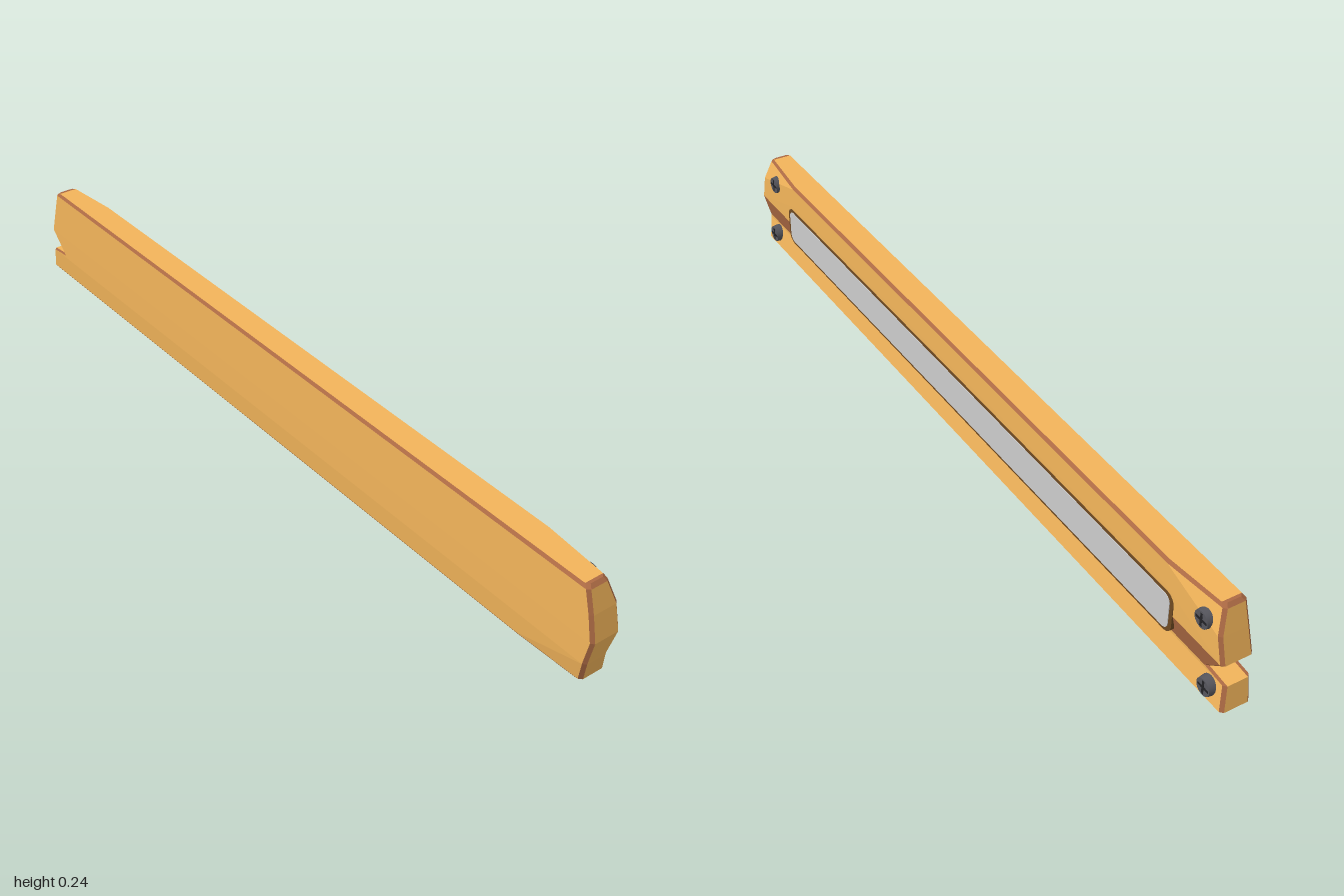
import * as THREE from 'three';

const gold = new THREE.MeshStandardMaterial({ color: 0xf2b45a, flatShading: true });
const brown = new THREE.MeshStandardMaterial({ color: 0xac6a44, flatShading: true });
const darkGold = new THREE.MeshStandardMaterial({ color: 0x6e4a22 });
const grey = new THREE.MeshStandardMaterial({ color: 0xcccccc });
const steel = new THREE.MeshStandardMaterial({ color: 0x55555c });
const black = new THREE.MeshStandardMaterial({ color: 0x222226 });

// Body levels from bottom to top: height, end positions, and side edges
const Y = [0, 0.007, 0.06, 0.066, 0.12, 0.18, 0.232, 0.239];
const Z_FRONT = [0.964, 0.973, 0.986, 0.987, 0.998, 0.985, 0.97, 0.962];
const Z_BACK = [-0.992, -0.999, -0.986, -0.93, -0.986, -0.969, -0.954, -0.946];
const R_MID = [0.029, 0.034, 0.022, 0.022, 0.034, 0.034, 0.033, 0.027];
const R_END = [0.029, 0.034, 0.022, 0.022, 0.034, 0.033, 0.017, 0.013];
const L_MID = [-0.031, -0.036, -0.04, -0.04, -0.04, -0.039, -0.038, -0.033];
const L_FRONT = [-0.026, -0.031, -0.04, -0.04, -0.04, -0.039, -0.038, -0.033];
const BEVEL = 0.007;

// One ring: up the right side, down the left side
function ring(right, left, z, inset = 0) {
  const r = Y.map((y, k) => new THREE.Vector3(right[k] - inset, y, z[k]));
  const l = Y.map((y, k) => new THREE.Vector3(left[k] + inset, y, z[k]));
  return [...r, ...l.reverse()];
}

function facesMesh(name, faces, material) {
  const geometry = new THREE.BufferGeometry().setFromPoints(faces);
  geometry.computeVertexNormals();
  const mesh = new THREE.Mesh(geometry, material);
  mesh.name = name;
  return mesh;
}

// Faceted body with coloured bevels and a notch at the back end
function createBody() {
  const flat = (z) => Y.map(() => z);
  const rings = [
    ring(R_END, L_FRONT, Z_FRONT, BEVEL),
    ring(R_END, L_FRONT, Z_FRONT.map((z) => z - BEVEL)),
    ring(R_MID, L_MID, flat(0.8)),
    ring(R_MID, L_MID, flat(-0.8)),
    ring(R_END, L_MID, Z_BACK.map((z) => z + BEVEL)),
    ring(R_END, L_MID, Z_BACK, BEVEL),
  ];
  const main = [], trim = [];
  const n = rings[0].length, top = Y.length - 1;

  // Long faces; the diagonal flips so the chamfers at both ends match
  for (let j = 0; j < rings.length - 1; j++) {
    for (let i = 0; i < n; i++) {
      const next = (i + 1) % n;
      const a = rings[j][i], b = rings[j][next];
      const c = rings[j + 1][next], d = rings[j + 1][i];
      const isTrim = j === 0 || j === rings.length - 2 || [0, 3, 6, 8, 14].includes(i);
      const target = isTrim ? trim : main;
      if (j < 3) target.push(a, d, c, a, c, b);
      else target.push(a, d, b, d, c, b);
    }
  }

  // End faces, level by level
  for (let k = 0; k < top; k++) {
    const target = k === 0 || k === top - 1 ? trim : main;
    const corners = (r) => [r[k], r[k + 1], r[n - 2 - k], r[n - 1 - k]];
    const [a, b, c, d] = corners(rings[0]);
    target.push(a, b, c, a, c, d);
    const [e, f, g, h] = corners(rings[rings.length - 1]);
    target.push(e, g, f, e, h, g);
  }

  const body = new THREE.Group();
  body.name = 'body';
  body.add(facesMesh('bodyFaces', main, gold), facesMesh('edgeTrim', trim, brown));
  return body;
}

// Rounded plate lying on the +x side
function plate(name, length, height, radius, x0, x1, material) {
  const w = length / 2 - radius, h = height / 2 - radius;
  const shape = new THREE.Shape();
  shape.absarc(w, h, radius, 0, Math.PI / 2);
  shape.absarc(-w, h, radius, Math.PI / 2, Math.PI);
  shape.absarc(-w, -h, radius, Math.PI, Math.PI * 1.5);
  shape.absarc(w, -h, radius, Math.PI * 1.5, Math.PI * 2);
  const geometry = new THREE.ExtrudeGeometry(shape, {
    depth: x1 - x0, bevelEnabled: false, curveSegments: 5,
  });
  geometry.rotateY(Math.PI / 2);
  const mesh = new THREE.Mesh(geometry, material);
  mesh.name = name;
  mesh.position.set(x0, 0.119, 0);
  return mesh;
}

// Round screw head with a cross slot
function createScrew(z, y) {
  const screw = new THREE.Group();
  screw.name = 'screw';
  const head = new THREE.Mesh(
    new THREE.CylinderGeometry(0.02, 0.023, 0.021, 20).rotateZ(-Math.PI / 2), steel);
  head.name = 'screwHead';
  screw.add(head);
  for (const turn of [0, Math.PI / 2]) {
    const slot = new THREE.Mesh(new THREE.BoxGeometry(0.002, 0.006, 0.032), black);
    slot.name = 'screwSlot';
    slot.position.x = 0.01;
    slot.rotation.x = turn;
    screw.add(slot);
  }
  screw.position.set(0.03, y, z);
  return screw;
}

export function createModel() {
  const model = new THREE.Group();
  model.name = 'panelBar';
  model.add(createBody());
  model.add(plate('panelFrame', 1.665, 0.1, 0.024, 0.02, 0.0355, darkGold));
  model.add(plate('panel', 1.645, 0.086, 0.018, 0.02, 0.037, grey));
  for (const [z, y] of [[0.905, 0.195], [0.925, 0.038], [-0.92, 0.191], [-0.947, 0.036]]) {
    model.add(createScrew(z, y));
  }
  return model;
}
